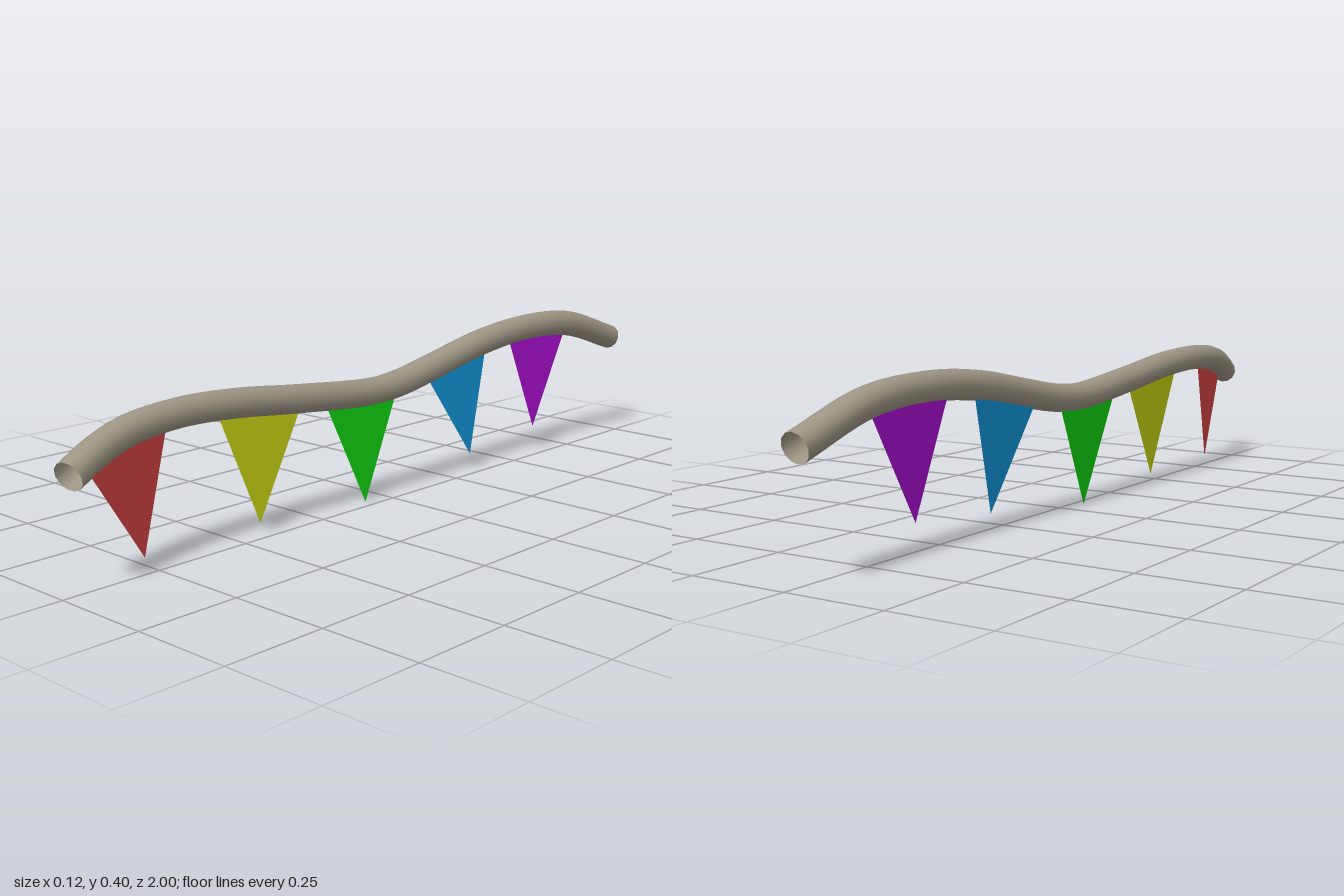
import * as THREE from 'three';

const material = (name, color) =>
  new THREE.MeshStandardMaterial({ name, color, side: THREE.DoubleSide });

// Triangular pennant: two top corners tucked into the rope, one tip hanging down
function pennant(name, mat, cornerA, cornerB, tip) {
  const t = new THREE.Vector3(...tip);
  const tuck = (c) => new THREE.Vector3(...c).sub(t).multiplyScalar(1.1).add(t);
  const geometry = new THREE.BufferGeometry().setFromPoints([tuck(cornerA), t, tuck(cornerB)]);
  geometry.computeVertexNormals();
  const mesh = new THREE.Mesh(geometry, mat);
  mesh.name = name;
  return mesh;
}

export function createModel() {
  const group = new THREE.Group();
  group.name = 'bunting';

  // Open hollow rope, sagging in the middle and bending sideways at the front
  const path = new THREE.CatmullRomCurve3([
    [0.025, 0.263, 0.987], [0.002, 0.296, 0.9], [-0.018, 0.32, 0.8], [-0.027, 0.331, 0.66],
    [-0.027, 0.325, 0.5], [-0.027, 0.303, 0.3], [-0.027, 0.281, 0.05], [-0.027, 0.288, -0.06],
    [-0.027, 0.31, -0.18], [-0.027, 0.348, -0.38], [-0.027, 0.364, -0.57],
    [-0.027, 0.351, -0.77], [-0.027, 0.284, -0.987],
  ].map((p) => new THREE.Vector3(...p)));
  const rope = new THREE.Mesh(
    new THREE.TubeGeometry(path, 60, 0.035, 12, false),
    material('ropeGrey', 0x9e9685),
  );
  rope.name = 'rope';
  group.add(rope);

  // Five pennants from front to back
  group.add(
    pennant('redPennant', material('red', 0xd64444),
      [0.017, 0.257, 0.932], [-0.036, 0.295, 0.69], [-0.02, 0.03, 0.772]),
    pennant('yellowPennant', material('yellow', 0xc2cf10),
      [-0.04, 0.292, 0.534], [-0.04, 0.268, 0.287], [-0.026, 0.027, 0.43]),
    pennant('greenPennant', material('green', 0x10d010),
      [-0.042, 0.258, 0.19], [-0.042, 0.256, -0.056], [-0.028, 0, 0.072]),
    pennant('bluePennant', material('blue', 0x1092d4),
      [-0.041, 0.283, -0.174], [-0.041, 0.32, -0.415], [-0.028, 0.046, -0.34]),
    pennant('purplePennant', material('purple', 0xa80ed0),
      [-0.04, 0.337, -0.517], [-0.04, 0.315, -0.77], [-0.028, 0.073, -0.62]),
  );
  return group;
}
